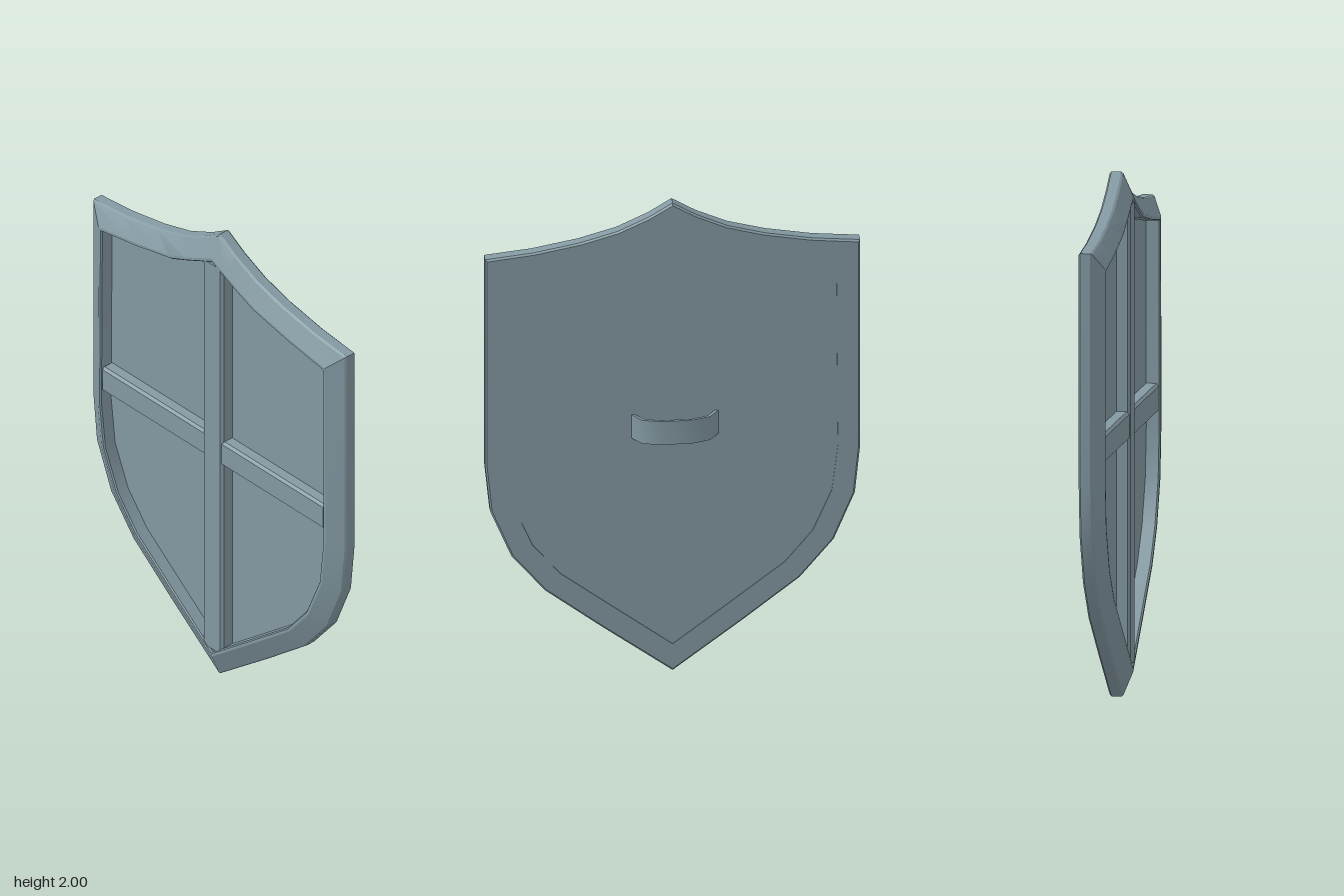
import * as THREE from 'three';
import { toCreasedNormals } from 'three/addons/utils/BufferGeometryUtils.js';

const steel = new THREE.MeshStandardMaterial({ color: 0x8399a2 });

// Half outlines from top point to bottom tip; both have the same point count
const OUTER = [[0, 2], [0.09, 1.945], [0.21, 1.89], [0.354, 1.85], [0.53, 1.818], [0.71, 1.8],
  [0.71, 0.92], [0.69, 0.72], [0.61, 0.525], [0.482, 0.37], [0.265, 0.2], [0, 0]];
const INNER = [[0, 1.89], [0.07, 1.858], [0.14, 1.826], [0.225, 1.79], [0.42, 1.748], [0.62, 1.715],
  [0.625, 0.93], [0.603, 0.74], [0.53, 0.57], [0.425, 0.442], [0.235, 0.295], [0, 0.115]];

const mirrored = (half) => [...half, ...half.slice(1, -1).reverse().map(([x, y]) => [-x, y])];
const toShape = (points) => new THREE.Shape(points.map(([x, y]) => new THREE.Vector2(x, y)));
const extrude = (points, depth) =>
  new THREE.ExtrudeGeometry(toShape(points), { depth, bevelEnabled: false });

function addMesh(group, name, geometry) {
  const mesh = new THREE.Mesh(geometry, steel);
  mesh.name = name;
  group.add(mesh);
  return mesh;
}

// Closed ring: section points are [blend from outer to inner outline, z]
function rimGeometry() {
  const section = [[1, -0.015], [0.08, -0.015], [0, -0.008], [0, 0.03], [0.06, 0.038],
    [0.83, 0.075], [0.95, 0.075], [1, 0.069], [1, 0]];
  const outer = mirrored(OUTER), inner = mirrored(INNER);
  const n = outer.length, m = section.length, positions = [], index = [];
  for (let i = 0; i < n; i++) {
    for (const [t, z] of section) {
      positions.push(THREE.MathUtils.lerp(outer[i][0], inner[i][0], t),
        THREE.MathUtils.lerp(outer[i][1], inner[i][1], t), z);
    }
    for (let j = 0; j < m; j++) {
      const i2 = (i + 1) % n, j2 = (j + 1) % m;
      const a = i * m + j, b = i * m + j2, c = i2 * m + j2, d = i2 * m + j;
      index.push(a, b, c, a, c, d);
    }
  }
  const geometry = new THREE.BufferGeometry();
  geometry.setAttribute('position', new THREE.Float32BufferAttribute(positions, 3));
  geometry.setIndex(index);
  return toCreasedNormals(geometry, 0.45);
}

// Chamfered bar along y, centred, with its base at z = 0
function barGeometry(length, width, height) {
  const w = width / 2, c = 0.01;
  const profile = [[-w, 0], [w, 0], [w, -height + c], [w - c, -height], [-w + c, -height], [-w, -height + c]];
  return extrude(profile, length).rotateX(-Math.PI / 2).translate(0, -length / 2, 0);
}

export function createModel() {
  const shield = new THREE.Group();
  shield.name = 'shield';

  addMesh(shield, 'rim', rimGeometry());

  // Flat board set into the rim
  addMesh(shield, 'panel', extrude(mirrored(INNER), 0.032)).position.z = -0.012;

  // Raised cross on the front
  addMesh(shield, 'verticalBar', barGeometry(1.75, 0.11, 0.053)).position.set(0, 1.005, 0.02);
  const horizontal = addMesh(shield, 'horizontalBar', barGeometry(1.24, 0.11, 0.049));
  horizontal.position.set(0, 1.04, 0.02);
  horizontal.rotation.z = Math.PI / 2;

  // Bent strap handle on the back, drawn as x and distance behind the board
  const strap = [[-0.174, 0.01], [-0.137, 0.06], [-0.068, 0.08], [0.052, 0.08], [0.122, 0.06], [0.158, 0.01],
    [0.144, 0.01], [0.114, 0.051], [0.05, 0.07], [-0.066, 0.07], [-0.129, 0.051], [-0.16, 0.01]];
  const handle = toCreasedNormals(extrude(strap, 0.1).rotateX(-Math.PI / 2), 0.75);
  addMesh(shield, 'handle', handle).position.y = 1.005;

  return shield;
}
